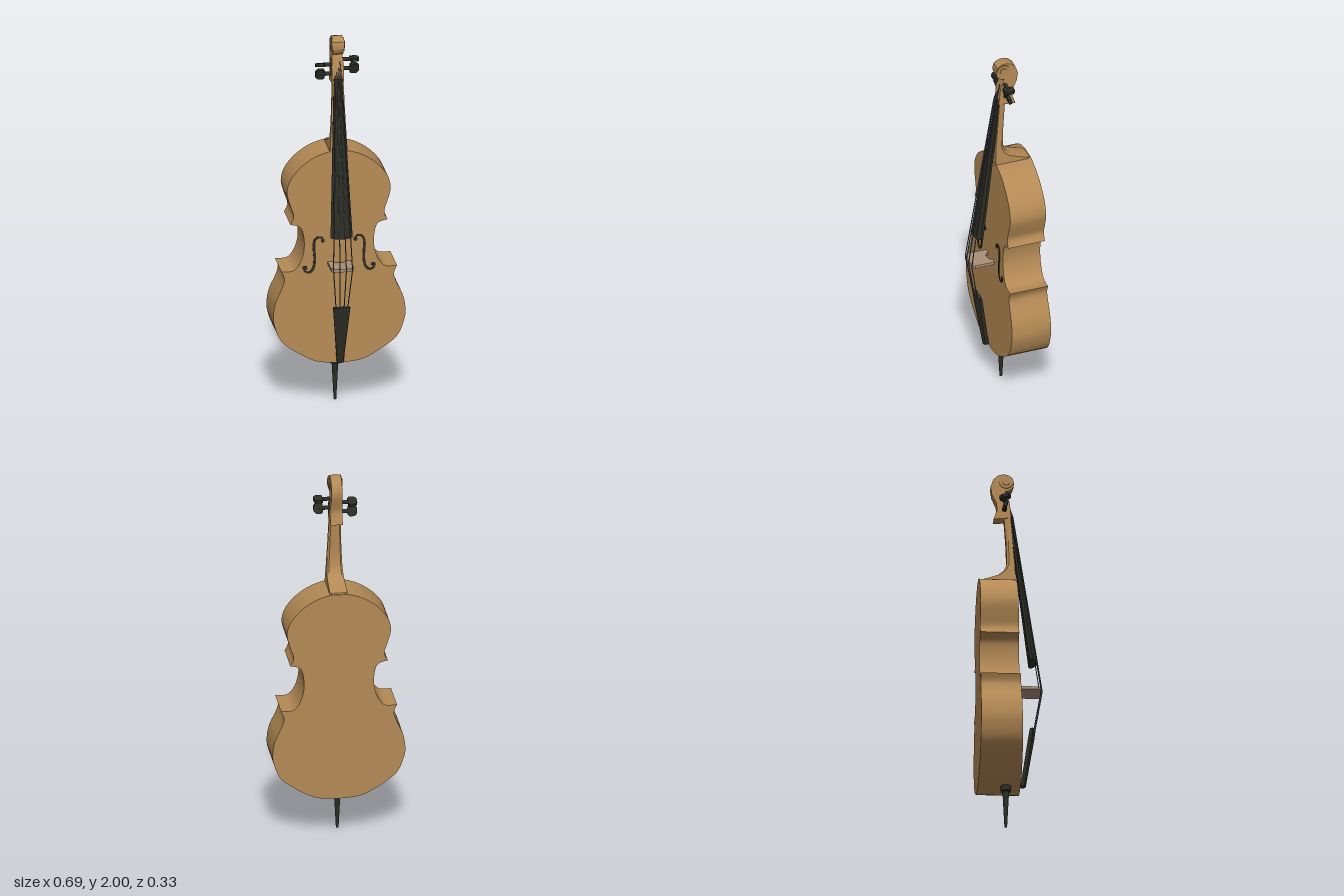
import * as THREE from 'three';
import { toCreasedNormals } from 'three/addons/utils/BufferGeometryUtils.js';

const mat = (name, color) => {
  const m = new THREE.MeshStandardMaterial({ color });
  m.name = name;
  return m;
};
const V2 = (p) => new THREE.Vector2(p[0], p[1]);
const V3 = (p) => new THREE.Vector3(...p);

// Front plate of the body leans slightly: deeper at the bottom
const frontZ = (y) => 0.055 - 0.026 * (y - 0.23);
const BACK = -0.166;

// Joins horizontal rings (from +x over +z to -x) into a closed solid, bottom to top
function loft(rings) {
  const pos = [], n = rings[0].length;
  const tri = (...pts) => pts.forEach((p) => pos.push(...p));
  for (let i = 0; i < rings.length - 1; i++) {
    for (let j = 0; j < n; j++) {
      const k = (j + 1) % n, [r, s] = [rings[i], rings[i + 1]];
      tri(r[j], s[j], r[k]);
      tri(r[k], s[j], s[k]);
    }
  }
  const top = rings[rings.length - 1], low = rings[0];
  for (let j = 1; j < n - 1; j++) {
    tri(low[0], low[j], low[j + 1]);
    tri(top[0], top[j + 1], top[j]);
  }
  const g = new THREE.BufferGeometry();
  g.setAttribute('position', new THREE.Float32BufferAttribute(pos, 3));
  return toCreasedNormals(g, 0.6);
}

// Ring with an arched front, for the fingerboard and tailpiece
function archRing(y, w, front, edge, back) {
  const ring = [];
  for (let i = 0; i <= 8; i++) {
    const t = 1 - i / 4;
    ring.push([w * t, y, edge + (front - edge) * (1 - t * t)]);
  }
  ring.push([-w * 0.95, y, back], [w * 0.95, y, back]);
  return ring;
}

// Squared ring with bevelled back corners, for the neck
const neckRing = (y, w, front, back) => [
  [w, y, front], [-w, y, front], [-w, y, back + 0.012], [-w * 0.75, y, back],
  [w * 0.75, y, back], [w, y, back + 0.012],
];

// Right half of the body outline: three curves meeting at the sharp corners
function bodyOutline() {
  const bouts = [
    [[0, 0.231], [0.06, 0.234], [0.13, 0.247], [0.215, 0.293], [0.302, 0.36], [0.34, 0.45],
      [0.345, 0.51], [0.332, 0.58], [0.3, 0.65], [0.286, 0.7], [0.302, 0.743]],
    [[0.302, 0.743], [0.24, 0.745], [0.202, 0.79], [0.183, 0.86], [0.186, 0.935], [0.205, 0.982], [0.254, 0.997]],
    [[0.254, 0.997], [0.236, 1.04], [0.254, 1.1], [0.271, 1.17], [0.253, 1.24], [0.2, 1.306],
      [0.127, 1.357], [0.05, 1.383], [0, 1.384]],
  ];
  const half = [];
  for (const b of bouts) half.push(...new THREE.SplineCurve(b.map(V2)).getPoints(b.length * 3).slice(0, -1));
  half.push(new THREE.Vector2(0, 1.384));
  const mirrored = half.slice(1, -1).reverse().map((p) => new THREE.Vector2(-p.x, p.y));
  return half.concat(mirrored);
}

// Extrudes a shape and fits its two faces between z rules
function plate(shape, zLow, zHigh) {
  const g = new THREE.ExtrudeGeometry(shape, { depth: 1, bevelEnabled: false, curveSegments: 12 });
  const p = g.attributes.position;
  for (let i = 0; i < p.count; i++) p.setZ(i, p.getZ(i) > 0.5 ? zHigh(p.getY(i)) : zLow(p.getY(i)));
  return toCreasedNormals(g, 0.6);
}

export function createModel() {
  const model = new THREE.Group();
  model.name = 'cello';
  const wood = mat('varnished wood', 0xb48a55);
  const ebony = mat('ebony', 0x2c2d25);
  const pale = mat('bridge wood', 0xa99079);
  const steel = mat('string steel', 0x56585e);
  const add = (name, geo, m, parent = model) => {
    const mesh = new THREE.Mesh(geo, m);
    mesh.name = name;
    parent.add(mesh);
    return mesh;
  };

  add('body', plate(new THREE.Shape(bodyOutline()), () => BACK, frontZ), wood);

  // F-holes: a swelling S-shaped strip with a round dot at each end
  const sPath = new THREE.SplineCurve([[0.085, 0.9], [0.09, 0.916], [0.11, 0.92], [0.127, 0.905], [0.132, 0.87],
    [0.128, 0.8], [0.137, 0.75], [0.158, 0.732], [0.18, 0.74], [0.182, 0.757]].map(V2));
  const sides = [[], []];
  for (let i = 0; i <= 40; i++) {
    const t = i / 40, p = sPath.getPoint(t), d = sPath.getTangent(t);
    const w = 0.003 + 0.004 * Math.sin(Math.PI * t);
    sides[0].push(new THREE.Vector2(p.x - d.y * w, p.y + d.x * w));
    sides[1].unshift(new THREE.Vector2(p.x + d.y * w, p.y - d.x * w));
  }
  const strip = sides[0].concat(sides[1]);
  for (const s of [1, -1]) {
    const hole = new THREE.Group();
    hole.name = s > 0 ? 'leftFHole' : 'rightFHole';
    model.add(hole);
    const thin = (shape) => plate(shape, (y) => frontZ(y) - 0.003, (y) => frontZ(y) + 0.003);
    add('slot', thin(new THREE.Shape(strip.map((p) => new THREE.Vector2(p.x * s, p.y)))), ebony, hole);
    for (const [x, y, r] of [[0.086, 0.9, 0.01], [0.179, 0.757, 0.012]]) {
      add('dot', thin(new THREE.Shape().absarc(x * s, y, r, 0, Math.PI * 2)), ebony, hole);
    }
  }

  // Neck with flared heel
  add('neck', loft([
    [1.378, 0.046, 0.028, -0.165], [1.392, 0.046, 0.028, -0.158], [1.405, 0.045, 0.028, -0.118],
    [1.425, 0.044, 0.027, -0.062], [1.45, 0.042, 0.026, -0.032], [1.49, 0.04, 0.024, -0.017],
    [1.6, 0.035, 0.014, -0.02], [1.77, 0.029, 0, -0.032],
  ].map((r) => neckRing(...r))), wood);

  add('fingerboard', loft([
    archRing(0.94, 0.058, 0.141, 0.115, 0.1), archRing(1.765, 0.023, 0.011, 0.004, -0.006),
  ]), ebony);
  add('nut', new THREE.BoxGeometry(0.046, 0.012, 0.022), ebony).position.set(0, 1.77, 0.003);
  add('tailpiece', loft([
    archRing(0.238, 0.017, 0.083, 0.074, 0.055), archRing(0.5, 0.04, 0.126, 0.112, 0.093),
    archRing(0.555, 0.046, 0.133, 0.118, 0.102),
  ]), ebony);

  // Pegbox and scroll cut from one side profile, narrower at the scroll
  const profile = [[0.006, 1.752], [-0.002, 1.84], [-0.016, 1.878], [-0.024, 1.905], [-0.008, 1.906], [0.012, 1.92],
    [0.021, 1.95], [0.013, 1.98], [-0.01, 1.996], [-0.035, 2], [-0.062, 1.992], [-0.086, 1.97], [-0.1, 1.93],
    [-0.094, 1.885], [-0.071, 1.835], [-0.066, 1.8], [-0.085, 1.743]];
  const headGeo = new THREE.ExtrudeGeometry(new THREE.Shape(profile.map(V2)), { depth: 2, bevelEnabled: false });
  headGeo.rotateY(-Math.PI / 2).translate(1, 0, 0);
  const hp = headGeo.attributes.position;
  for (let i = 0; i < hp.count; i++) hp.setX(i, hp.getX(i) * (hp.getY(i) > 1.87 ? 0.028 : 0.032));
  add('pegboxAndScroll', toCreasedNormals(headGeo, 0.7), wood);
  for (const [r, w] of [[0.036, 0.066], [0.02, 0.076]]) {
    const eye = add('scrollEye', new THREE.CylinderGeometry(r, r, w, 20).rotateZ(Math.PI / 2), wood);
    eye.position.set(0, 1.956, -0.02);
  }

  // Tuning pegs: a shaft and a flat bevelled grip, turned differently on each
  const grip = new THREE.Shape([[0.066, -0.022], [0.074, -0.029], [0.1, -0.029], [0.113, -0.016], [0.113, 0.016],
    [0.1, 0.029], [0.074, 0.029], [0.066, 0.022]].map(V2));
  const gripGeo = new THREE.ExtrudeGeometry(grip, { depth: 0.018, bevelEnabled: false }).translate(0, 0, -0.009);
  for (const [side, y, turn] of [[1, 1.87, 1.5], [1, 1.82, 0.3], [-1, 1.845, 1.25], [-1, 1.795, 0.3]]) {
    const peg = new THREE.Group();
    peg.name = 'tuningPeg';
    peg.position.set(0, y, -0.028);
    peg.rotation.set(turn, 0, side > 0 ? 0 : Math.PI);
    add('shaft', new THREE.CylinderGeometry(0.011, 0.009, 0.115, 12).rotateZ(-Math.PI / 2).translate(0.024, 0, 0), ebony, peg);
    add('grip', gripGeo, ebony, peg);
    model.add(peg);
  }

  // Bridge standing out from the front plate
  const bridge = new THREE.Shape([[-0.06, 0.038], [-0.035, 0.038], [-0.026, 0.056], [0, 0.063], [0.026, 0.056],
    [0.035, 0.038], [0.06, 0.038], [0.06, 0.145], [0.05, 0.157], [0.02, 0.163], [-0.02, 0.163], [-0.05, 0.157],
    [-0.06, 0.145]].map(V2));
  const bridgeGeo = new THREE.ExtrudeGeometry(bridge, { depth: 0.016, bevelEnabled: false });
  add('bridge', bridgeGeo.rotateX(Math.PI / 2).translate(0, 0.784, 0), pale);

  // Strings: tailpiece, bridge, nut, pegbox
  [-1.5, -0.5, 0.5, 1.5].forEach((k, i) => {
    const outer = Math.abs(k) > 1 ? 0.006 : 0;
    const path = new THREE.CurvePath();
    const pts = [[k * 0.019, 0.53, 0.126 - outer], [k * 0.033, 0.776, 0.167 - outer],
      [k * 0.011, 1.776, 0.015 - outer / 3], [k * 0.008, 1.8 + i * 0.022, -0.006]].map(V3);
    for (let j = 0; j < 3; j++) path.add(new THREE.LineCurve3(pts[j], pts[j + 1]));
    add('string', new THREE.TubeGeometry(path, 60, 0.0027, 6), steel);
  });

  // Endpin
  const pinProfile = [[0, 0], [0.007, 0.002], [0.017, 0.2], [0.026, 0.204], [0.028, 0.236], [0, 0.236]].map(V2);
  const pin = add('endpin', toCreasedNormals(new THREE.LatheGeometry(pinProfile, 16), 0.6), ebony);
  pin.position.set(-0.012, 0, -0.021);
  return model;
}
